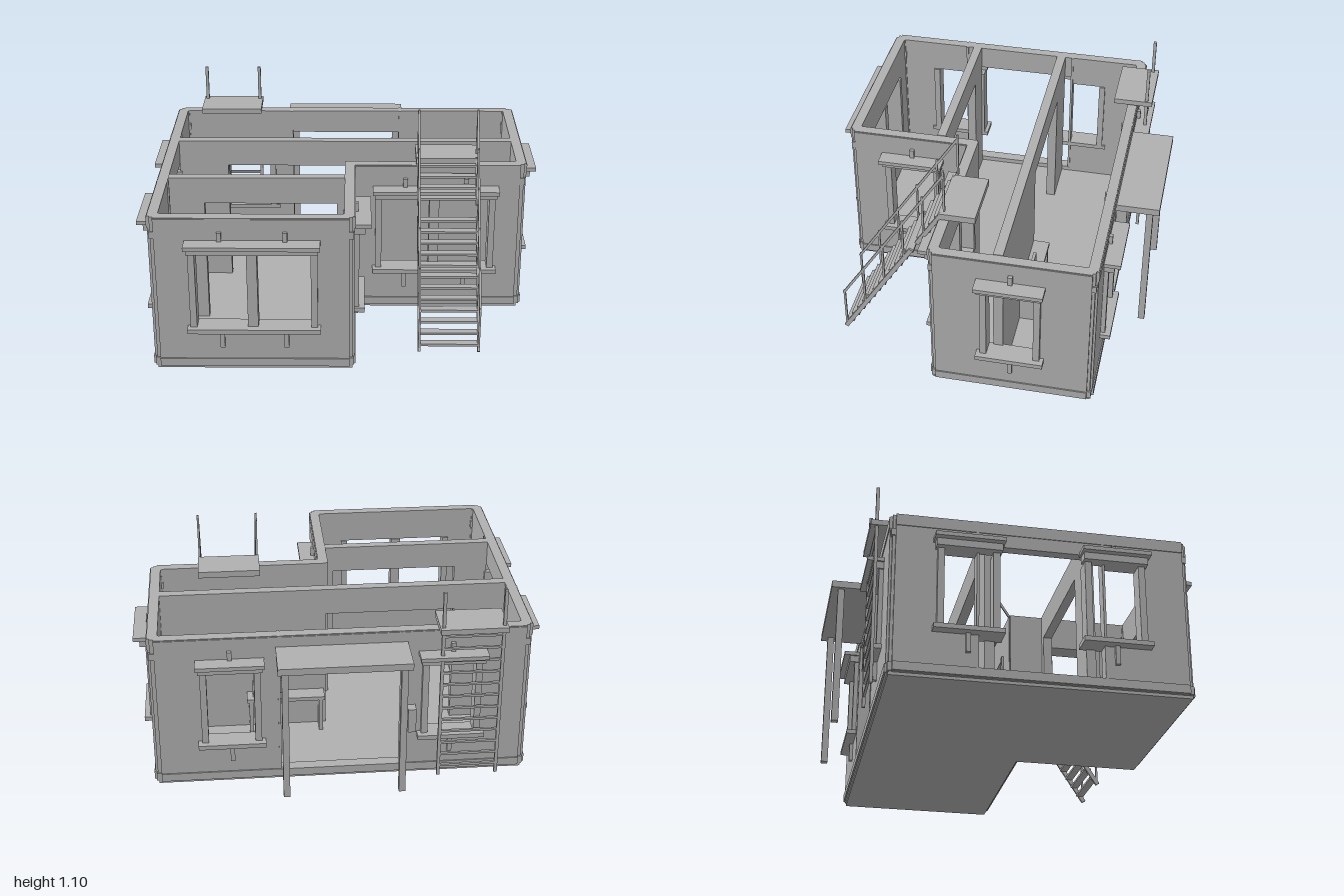
import * as THREE from 'three';
import { mergeGeometries } from 'three/addons/utils/BufferGeometryUtils.js';

const grey = new THREE.MeshStandardMaterial({ color: 0xb0b0b0 });
grey.name = 'plain grey';

// Box geometry given by its min and max on each axis
function boxGeo(x0, x1, y0, y1, z0, z1) {
  return new THREE.BoxGeometry(x1 - x0, y1 - y0, z1 - z0)
    .translate((x0 + x1) / 2, (y0 + y1) / 2, (z0 + z1) / 2);
}

function addGeo(parent, name, geo) {
  const mesh = new THREE.Mesh(geo, grey);
  mesh.name = name;
  parent.add(mesh);
}

const box = (parent, name, ...b) => addGeo(parent, name, boxGeo(...b));

// Square bar between two points
function bar(parent, name, p, q, w, h = w) {
  const a = new THREE.Vector3(...p), b = new THREE.Vector3(...q);
  const mesh = new THREE.Mesh(new THREE.BoxGeometry(w, h, a.distanceTo(b)), grey);
  mesh.name = name;
  mesh.position.copy(a).add(b).multiplyScalar(0.5);
  mesh.lookAt(b);
  parent.add(mesh);
}

// Wall slab with rectangular openings [u0, u1, y0, y1], cut into columns
function slab(u0, u1, y0, y1, z0, z1, openings) {
  const us = [u0, u1];
  openings.forEach(o => us.push(o[0], o[1]));
  us.sort((a, b) => a - b);
  const parts = [];
  for (let i = 0; i < us.length - 1; i++) {
    if (us[i + 1] - us[i] < 1e-4) continue;
    const mid = (us[i] + us[i + 1]) / 2;
    const cuts = openings.filter(o => o[0] < mid && mid < o[1]).sort((a, b) => a[2] - b[2]);
    let y = y0;
    for (const c of cuts) {
      if (c[2] > y) parts.push(boxGeo(us[i], us[i + 1], y, c[2], z0, z1));
      y = Math.max(y, c[3]);
    }
    if (y < y1) parts.push(boxGeo(us[i], us[i + 1], y, y1, z0, z1));
  }
  return mergeGeometries(parts);
}

// Window trim on a wall whose outer plane is local z = d
function windowTrim(wall, u, d, wide) {
  const g = new THREE.Group();
  g.name = wide ? 'wideWindow' : 'narrowWindow';
  g.position.set(u, 0, d);
  const half = wide ? 0.32 : 0.165, open = wide ? 0.285 : 0.125;
  box(g, 'hood', -half, half, 0.68, 0.7, -0.01, 0.08);
  box(g, 'lintel', -half + 0.01, half - 0.01, 0.645, 0.68, -0.01, 0.05);
  box(g, 'sill', -half, half, 0.222, 0.245, -0.06, 0.05);
  for (const s of [-1, 1]) {
    const x = s * (open + 0.005);
    box(g, 'jamb', x - 0.016, x + 0.016, 0.245, 0.645, -0.06, 0.022);
  }
  if (wide) box(g, 'mullion', -0.03, 0.02, 0.245, 0.645, -0.055, 0.015);
  for (const x of wide ? [-0.155, 0.155] : [0]) {
    box(g, 'lowerBracket', x - 0.011, x + 0.011, 0.13, 0.222, -0.01, 0.018);
    box(g, 'upperBracket', x - 0.011, x + 0.011, 0.7, 0.745, -0.01, 0.018);
  }
  wall.add(g);
}

// Outer wall: built facing +z, then turned about the vertical axis
function outerWall(root, { name, turn, d, u0, u1, windows = [], doors = [] }) {
  const wall = new THREE.Group();
  wall.name = name;
  wall.rotation.y = turn;
  const holes = doors.map(([a, b]) => [a, b, 0.06, 0.69]);
  for (const [u, wide] of windows) {
    const h = wide ? 0.285 : 0.125;
    holes.push([u - h, u + h, 0.245, 0.645]);
  }
  addGeo(wall, 'wallPanel', slab(u0, u1, 0.015, 0.815, d - 0.05, d, holes));
  box(wall, 'baseBand', u0, u1, 0.018, 0.06, d - 0.01, d + 0.006);
  box(wall, 'topBand', u0, u1, 0.755, 0.81, d - 0.01, d + 0.004);
  for (const [u, wide] of windows) windowTrim(wall, u, d, wide);
  for (const [a, b] of doors)
    for (const u of [a, b]) box(wall, 'doorJamb', u - 0.006, u + 0.006, 0.06, 0.815, d - 0.058, d + 0.004);
  root.add(wall);
}

export function createModel() {
  const root = new THREE.Group();
  root.name = 'house';

  // L-shaped floor
  const outline = [[-0.91, -0.64], [0.905, -0.64], [0.905, 0.145], [0.04, 0.145], [0.04, 0.77], [-0.91, 0.77]];
  const shape = new THREE.Shape(outline.map(([x, z]) => new THREE.Vector2(x, -z)));
  addGeo(root, 'floor', new THREE.ExtrudeGeometry(shape, { depth: 0.035, bevelEnabled: false }).rotateX(-Math.PI / 2));

  // Outer walls
  const q = Math.PI / 2;
  [
    { name: 'frontWingWall', turn: 0, d: 0.78, u0: -0.895, u1: 0.025, windows: [[-0.432, true]] },
    { name: 'frontRecessWall', turn: 0, d: 0.155, u0: 0.01, u1: 0.89, windows: [[0.462, true]] },
    { name: 'wingSideWall', turn: q, d: 0.05, u0: -0.755, u1: -0.11, windows: [[-0.447, false]] },
    { name: 'leftSideWall', turn: q, d: 0.92, u0: -0.13, u1: 0.625, windows: [[0.245, false]] },
    { name: 'backWall', turn: 2 * q, d: 0.65, u0: -0.89, u1: 0.895, windows: [[-0.535, false], [0.54, false]], doors: [[-0.3, 0.3]] },
    { name: 'rightSideWall', turn: -q, d: 0.925, u0: -0.625, u1: 0.755, windows: [[-0.285, false], [0.412, false]], doors: [[-0.24, 0.36]] },
  ].forEach(w => outerWall(root, w));

  // Set-back corner posts with raised collars
  for (const [x, z] of [[-0.89, -0.617], [0.887, -0.617], [0.887, 0.122], [0.018, 0.747], [-0.89, 0.747]]) {
    box(root, 'cornerPost', x - 0.022, x + 0.022, 0.015, 0.815, z - 0.022, z + 0.022);
    for (const [y0, y1] of [[0.018, 0.06], [0.705, 0.74]])
      box(root, 'cornerCollar', x - 0.028, x + 0.028, y0, y1, z - 0.028, z + 0.028);
  }

  // Inner walls with wide doorways
  addGeo(root, 'innerBackWall', slab(-0.875, 0.87, 0.035, 0.818, -0.2, -0.152, [[-0.62, 0.04, 0.035, 0.68]]));
  addGeo(root, 'innerFrontWall', slab(-0.875, 0, 0.035, 0.818, 0.28, 0.325, [[-0.7, -0.04, 0.035, 0.68]]));

  // Desk with screen, set against the inner wall
  const desk = new THREE.Group();
  desk.name = 'desk';
  box(desk, 'deskTop', 0.05, 0.45, 0.22, 0.24, -0.285, -0.2);
  for (const x of [0.06, 0.42]) box(desk, 'deskLeg', x, x + 0.02, 0.035, 0.22, -0.28, -0.2);
  box(desk, 'screen', 0.25, 0.42, 0.255, 0.33, -0.25, -0.235);
  box(desk, 'screenStand', 0.35, 0.42, 0.24, 0.255, -0.255, -0.21);
  root.add(desk);

  // Back porch
  const porch = new THREE.Group();
  porch.name = 'porch';
  box(porch, 'porchRoof', -0.32, 0.315, 0.722, 0.757, -0.865, -0.64);
  for (const x of [-0.285, 0.28]) box(porch, 'porchColumn', x - 0.016, x + 0.016, 0.015, 0.722, -0.833, -0.8);
  root.add(porch);
  box(root, 'wallBox', -0.365, -0.325, 0.27, 0.4, -0.7, -0.64);

  // Roof ladder with its platform
  const ladder = new THREE.Group();
  ladder.name = 'ladder';
  for (const x of [-0.772, -0.482]) box(ladder, 'ladderPole', x - 0.008, x + 0.008, 0.015, 1.037, -0.708, -0.692);
  for (let i = 0; i < 12; i++) {
    const y = 0.07 + i * 0.0665;
    box(ladder, 'rung', -0.772, -0.482, y - 0.006, y + 0.006, -0.706, -0.694);
  }
  box(ladder, 'ladderPlatform', -0.79, -0.465, 0.825, 0.852, -0.73, -0.53);
  root.add(ladder);

  // Outside stairs, broken by a small gap below the upper flight
  const stairs = new THREE.Group();
  stairs.name = 'stairs';
  const lineY = z => 0.03 + 1.56 * (0.665 - z);
  const flights = [[0.665, 0.3], [0.27, 0.14]];
  for (const x of [0.37, 0.665]) {
    for (const [a, b] of flights) bar(stairs, 'stringer', [x, lineY(a), a], [x, lineY(b), b], 0.013, 0.022);
    bar(stairs, 'handrail', [x, 0.255, 0.665], [x, 1.08, 0.127], 0.011, 0.012);
    for (let i = 0; i < 6; i++) {
      const z = 0.66 - i * 0.1065;
      bar(stairs, 'railPost', [x, lineY(z), z], [x, lineY(z) + 0.235, z], 0.01);
    }
  }
  for (let i = 0; i < 17; i++) {
    const z = 0.643 - i * 0.0302, y = lineY(z);
    if (z > 0.27 && z < 0.305) continue;
    box(stairs, 'tread', 0.372, 0.663, y - 0.005, y + 0.007, z - 0.02, z + 0.02);
  }
  box(stairs, 'landing', 0.36, 0.675, 0.82, 0.853, -0.025, 0.157);
  root.add(stairs);

  return root;
}
